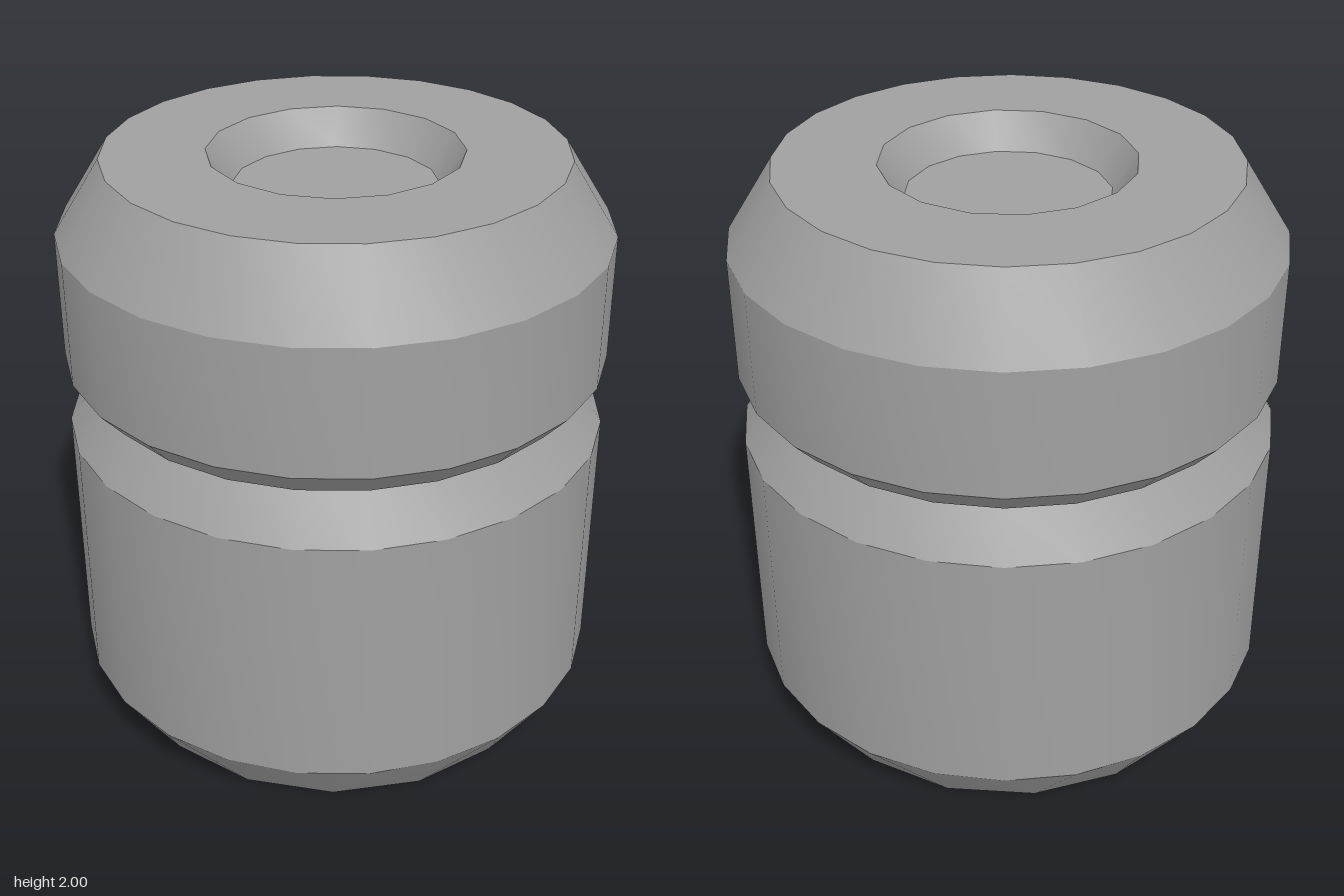
import * as THREE from 'three';
import { toCreasedNormals } from 'three/addons/utils/BufferGeometryUtils.js';
import { ConvexGeometry } from 'three/addons/geometries/ConvexGeometry.js';

const SIDES = 24;
const COARSE_SIDES = 16;
const CREASE = 0.48;

const material = new THREE.MeshStandardMaterial({ color: 0xa0a0a0 });

function mesh(name, geometry) {
  const m = new THREE.Mesh(geometry, material);
  m.name = name;
  return m;
}

// Turned part: smooth around the axis, sharp between bands
function turned(name, profile, sides) {
  const points = profile.map(([r, y]) => new THREE.Vector2(r, y));
  return mesh(name, toCreasedNormals(new THREE.LatheGeometry(points, sides), CREASE));
}

// Corners of a regular polygon with a corner on each axis
function ring(radius, sides) {
  return Array.from({ length: sides }, (_, i) => {
    const a = (i / sides) * Math.PI * 2;
    return new THREE.Vector2(Math.sin(a) * radius, Math.cos(a) * radius);
  });
}

// The same polygon laid flat at a height
function level(radius, sides, y) {
  return ring(radius, sides).map((p) => new THREE.Vector3(p.x, y, p.y));
}

export function createModel() {
  const group = new THREE.Group();
  group.name = 'lidded jar';

  // Chamfered foot: the round body narrows to a coarser base
  const foot = new ConvexGeometry([...level(0.765, COARSE_SIDES, 0), ...level(0.905, SIDES, 0.205)]);
  group.add(mesh('foot', toCreasedNormals(foot, CREASE)));

  // Jar body with chamfered shoulder
  group.add(turned('body', [[0.905, 0.205], [0.905, 1.08], [0.795, 1.24]], SIDES));

  // Lid with flat underside lip and chamfers
  group.add(turned('lid', [
    [0.795, 1.24], [0.825, 1.24], [0.905, 1.33], [0.905, 1.755], [0.75, 2],
  ], SIDES));

  // Flat lid top with a hole for the recess
  const top = new THREE.Shape(ring(0.75, SIDES));
  top.holes.push(new THREE.Path(ring(0.415, COARSE_SIDES)));
  group.add(mesh('lidTop', new THREE.ShapeGeometry(top).rotateX(-Math.PI / 2).translate(0, 2, 0)));

  // Shallow tapered recess
  group.add(turned('recess', [[0.415, 2], [0.335, 1.885], [0, 1.885]], COARSE_SIDES));

  return group;
}
